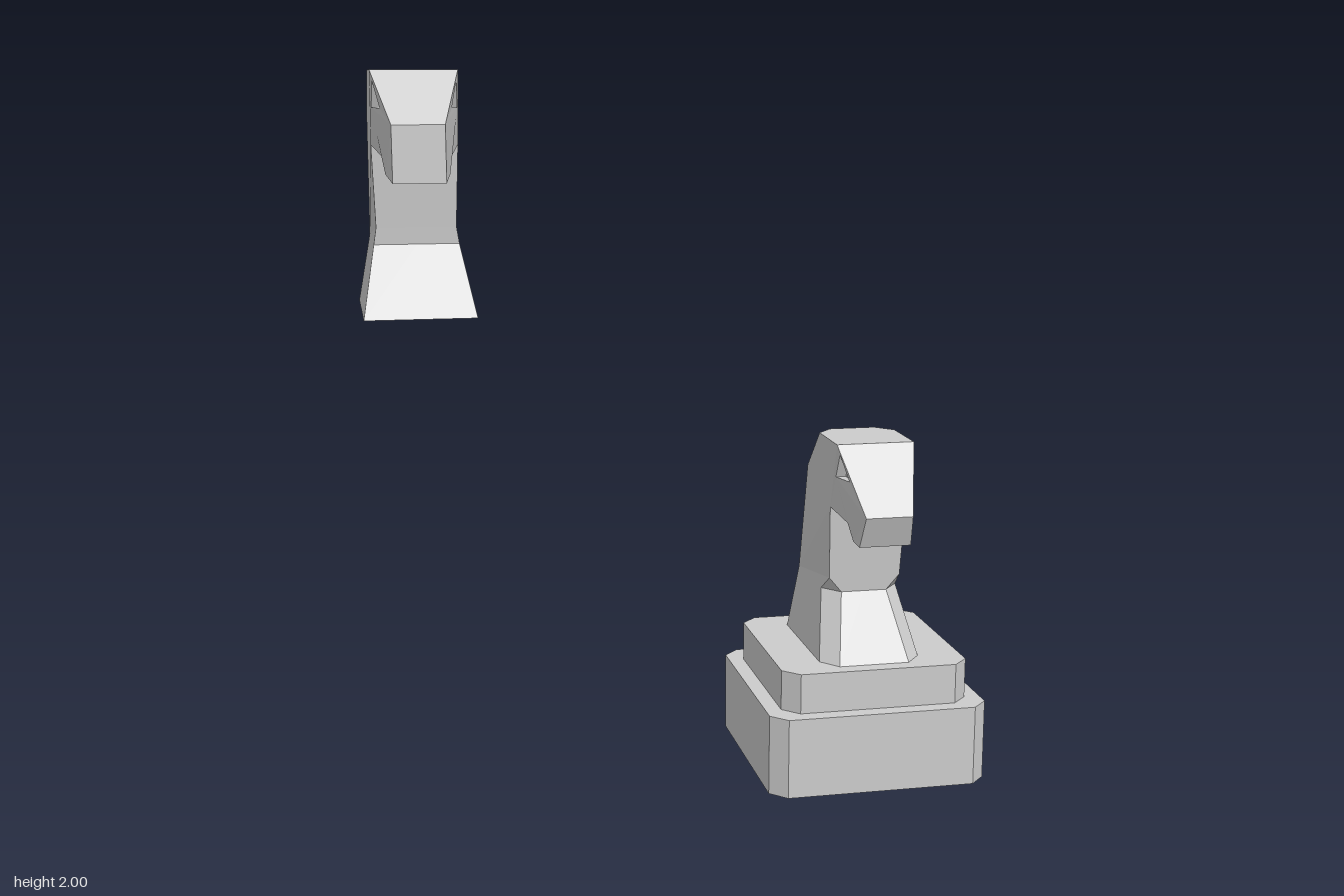
import * as THREE from 'three';

const material = new THREE.MeshStandardMaterial({ color: 0xcccccc, flatShading: true });

// Half width of the tapering head at depth z and height h above the neck's foot
function headWidth(z, h) {
  const fold = 0.13 + (h - 0.445) * 0.29;
  return 0.112 - 0.045 * THREE.MathUtils.clamp((z - fold) / (0.325 - fold), 0, 1);
}

// Horse head and neck, built as the +x half and mirrored.
// c is the edge bevel, muzzle the [z, h] points at the front of the snout.
function horseGeometry(c, muzzle) {
  const pos = [];
  const V = (x, h, z) => new THREE.Vector3(x, h, z);
  const tri = (a, b, d) => {
    if (b.clone().sub(a).cross(d.clone().sub(a)).length() < 1e-8) return;
    for (const p of [a, b, d]) pos.push(p.x, p.y, p.z);
    for (const p of [a, d, b]) pos.push(-p.x, p.y, p.z);
  };
  // Each row: edge of the centre strip (p) and edge of the side wall (s)
  const bevelled = (z, h, w, dz, dh = 0) => ({ p: V(w - c, h, z), s: V(w, h + dh * c, z + dz * c) });
  const plain = (z, h) => { const p = V(headWidth(z, h), h, z); return { p, s: p }; };
  const rows = [
    bevelled(0.22, 0, 0.147, -1.2),
    bevelled(-0.235, 0, 0.147, 1),
    bevelled(-0.235, 0.185, 0.112, 1),
    bevelled(-0.155, 0.525, 0.112, 1, -0.2),
    bevelled(-0.04, 0.635, 0.112, 1.1),
    plain(0.185, 0.635),
    ...muzzle.map(([z, h]) => plain(z, h)),
    plain(0.255, 0.375),
    plain(0.225, 0.42),
    plain(0.13, 0.445),
    plain(0.109, 0.23),
    bevelled(0.105, 0.185, 0.112, -1.2),
  ];
  const n = rows.length;

  // Centre strip and bevels around the profile
  rows.forEach((a, i) => {
    const b = rows[(i + 1) % n];
    const ca = V(0, a.p.y, a.p.z), cb = V(0, b.p.y, b.p.z);
    tri(a.p, ca, b.p);
    tri(ca, cb, b.p);
    tri(a.p, b.p, b.s);
    tri(a.p, b.s, a.s);
  });

  // Side walls: flared foot, neck, and head with an eye opening
  const flat = (pts) => pts.map((p) => new THREE.Vector2(-p.z, p.y));
  const panel = (outline, hole = []) => {
    const all = [...outline, ...hole];
    const holes = hole.length ? [flat(hole)] : [];
    for (const f of THREE.ShapeUtils.triangulateShape(flat(outline), holes)) {
      const t = f.map((i) => all[i]);
      if (THREE.ShapeUtils.area(flat(t)) < 0) t.reverse();
      tri(...t);
    }
  };
  const side = (...ids) => ids.map((i) => rows[i].s);
  const eye = [[0.238, 0.54], [0.169, 0.54], [0.196, 0.608]].map(([z, h]) => V(headWidth(z, h), h, z));
  panel(side(0, 1, 2, n - 1));
  panel(side(2, 3, 4, 5, n - 3, n - 2, n - 1));
  panel(rows.slice(5, n - 2).map((r) => r.s), eye);

  // Recessed eye
  const floor = eye.map((p) => V(0.08, p.y, p.z));
  eye.forEach((a, i) => {
    const j = (i + 1) % 3;
    tri(a, eye[j], floor[j]);
    tri(a, floor[j], floor[i]);
  });
  tri(...floor);

  const g = new THREE.BufferGeometry();
  g.setAttribute('position', new THREE.Float32BufferAttribute(pos, 3));
  g.computeVertexNormals();
  return g;
}

// Square slab with cut corners
function slabGeometry(size, height, cut) {
  const r = size / 2, k = r - cut;
  const corners = [[r, -k], [r, k], [k, r], [-k, r], [-r, k], [-r, -k], [-k, -r], [k, -r]];
  const shape = new THREE.Shape(corners.map(([x, y]) => new THREE.Vector2(x, y)));
  return new THREE.ExtrudeGeometry(shape, { depth: height, bevelEnabled: false }).rotateX(-Math.PI / 2);
}

export function createModel() {
  const model = new THREE.Group();
  const add = (parent, name, geometry, x, y, z) => {
    const mesh = new THREE.Mesh(geometry, material);
    mesh.name = name;
    mesh.position.set(x, y, z);
    parent.add(mesh);
  };

  // Complete piece on its stepped base
  const knight = new THREE.Group();
  knight.name = 'knightPiece';
  knight.position.x = 0.537;
  add(knight, 'lowerBase', slabGeometry(0.635, 0.23, 0.045), 0, 0, -0.008);
  add(knight, 'upperBase', slabGeometry(0.545, 0.115, 0.045), 0, 0.23, -0.008);
  add(knight, 'bevelledHorseHead', horseGeometry(0.045, [[0.325, 0.455], [0.29, 0.365]]), 0, 0.345, 0);
  model.add(knight);

  // Separate plain head, floating to the side
  add(model, 'plainHorseHead', horseGeometry(0, [[0.325, 0.5], [0.325, 0.355]]), -0.712, 1.365, 0);
  return model;
}
